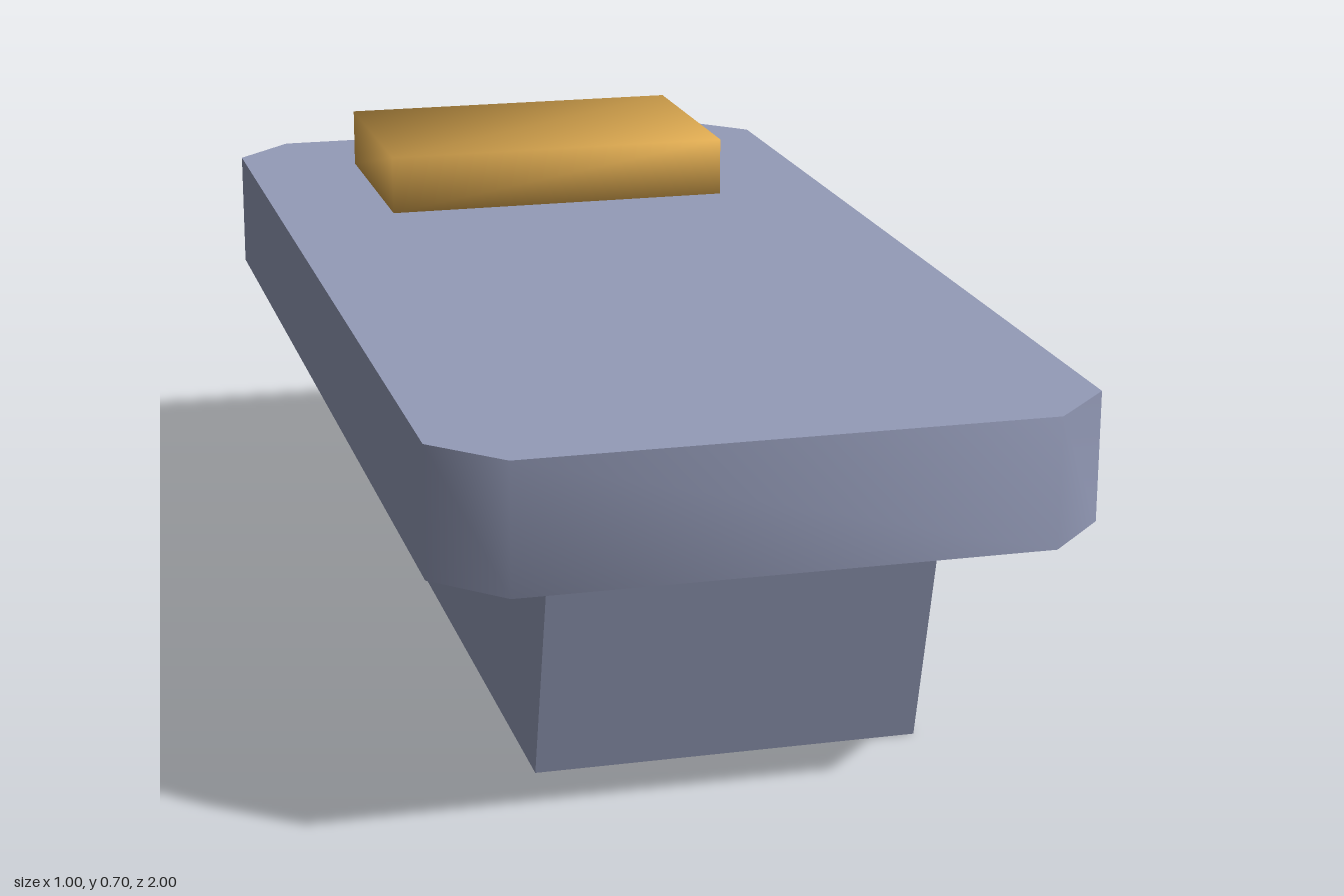
import * as THREE from 'three';
import { toCreasedNormals } from 'three/addons/utils/BufferGeometryUtils.js';

const slateBlue = new THREE.MeshStandardMaterial({ color: 0x949bb8 });
slateBlue.name = 'slateBlue';
const amber = new THREE.MeshStandardMaterial({ color: 0xe0ac52 });
amber.name = 'amber';

function addPart(group, name, geometry, material) {
  const mesh = new THREE.Mesh(geometry, material);
  mesh.name = name;
  group.add(mesh);
}

// Block whose two ends lean inwards towards the bottom
function taperedBase() {
  const geo = new THREE.BoxGeometry(0.6, 0.4, 1.6).translate(0, 0.2, 0);
  const pos = geo.attributes.position;
  for (let i = 0; i < pos.count; i++) {
    if (pos.getY(i) < 0.1) pos.setZ(i, pos.getZ(i) * 0.875);
  }
  geo.computeVertexNormals();
  return geo;
}

// Slab with cut corners, its walls shaded as one smooth band
function corneredSlab() {
  const w = 0.5, l = 1, c = 0.1;
  const outline = new THREE.Shape([
    [w, c - l], [w, l - c], [w - c, l], [c - w, l],
    [-w, l - c], [-w, c - l], [c - w, -l], [w - c, -l],
  ].map(([x, y]) => new THREE.Vector2(x, y)));
  const geo = new THREE.ExtrudeGeometry(outline, { depth: 0.2, bevelEnabled: false });
  geo.rotateX(-Math.PI / 2).translate(0, 0.4, 0);
  return toCreasedNormals(geo, 1);
}

// Box with soft shading: each corner normal points diagonally outwards
function softBlock() {
  const geo = new THREE.BoxGeometry(0.6, 0.1, 0.4);
  const pos = geo.attributes.position;
  const n = Math.sqrt(1 / 3);
  for (let i = 0; i < pos.count; i++) {
    geo.attributes.normal.setXYZ(i,
      Math.sign(pos.getX(i)) * n, Math.sign(pos.getY(i)) * n, Math.sign(pos.getZ(i)) * n);
  }
  return geo.translate(0, 0.65, -0.6);
}

export function createModel() {
  const group = new THREE.Group();
  group.name = 'bed';
  addPart(group, 'base', taperedBase(), slateBlue);
  addPart(group, 'slab', corneredSlab(), slateBlue);
  addPart(group, 'pillow', softBlock(), amber);
  return group;
}
